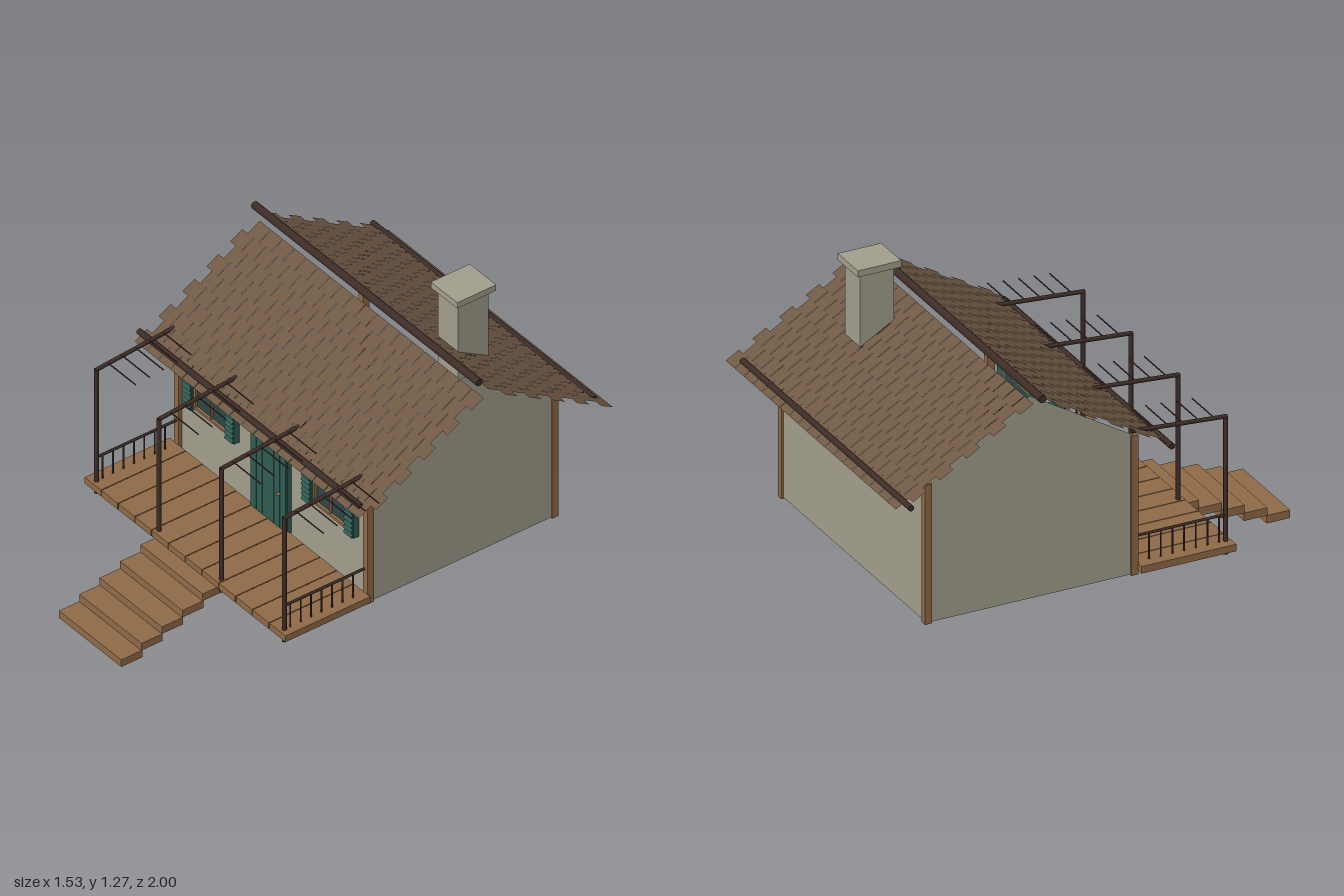
import * as THREE from 'three';
import { mergeGeometries } from 'three/addons/utils/BufferGeometryUtils.js';

const mat = (name, color, side = THREE.FrontSide) => {
  const m = new THREE.MeshStandardMaterial({ color, side });
  m.name = name;
  return m;
};

export function createModel() {
  const model = new THREE.Group();
  model.name = 'cabin';
  const plaster = mat('plaster', 0xa29e8c);
  const wood = mat('wood', 0x8f6a48);
  const shingle = mat('shingle', 0x6f5843, THREE.DoubleSide);
  const log = mat('darkLog', 0x3d2c27);
  const teal = mat('tealPaint', 0x2f5c53);
  const glass = mat('glass', 0x2d4745);

  const add = (name, geo, material, parent = model) => {
    const m = new THREE.Mesh(geo, material);
    m.name = name;
    parent.add(m);
    return m;
  };
  const group = (name) => {
    const g = new THREE.Group();
    g.name = name;
    model.add(g);
    return g;
  };
  // box given by its minimum and maximum along each axis
  const box = (x0, x1, y0, y1, z0, z1) =>
    new THREE.BoxGeometry(x1 - x0, y1 - y0, z1 - z0)
      .translate((x0 + x1) / 2, (y0 + y1) / 2, (z0 + z1) / 2);
  // round rod between two points
  const rod = (a, b, r, sides = 10) => {
    const p = new THREE.Vector3(...a), q = new THREE.Vector3(...b);
    const d = q.clone().sub(p);
    const geo = new THREE.CylinderGeometry(r, r, d.length(), sides);
    geo.applyQuaternion(new THREE.Quaternion().setFromUnitVectors(new THREE.Vector3(0, 1, 0), d.normalize()));
    return geo.translate((a[0] + b[0]) / 2, (a[1] + b[1]) / 2, (a[2] + b[2]) / 2);
  };

  // House shell: open-topped walls, floor and gables
  const L = -0.655, R = 0.595, F = 0.085, B = -0.84, Y0 = 0.16, EAVE = 0.775, MID = -0.38;
  const W = R - L, D = F - B, cx = (L + R) / 2, cz = (F + B) / 2, H = EAVE - Y0;
  const walls = group('walls');
  add('frontWall', new THREE.PlaneGeometry(W, H).translate(cx, Y0 + H / 2, F), plaster, walls);
  add('backWall', new THREE.PlaneGeometry(W, H).rotateY(Math.PI).translate(cx, Y0 + H / 2, B), plaster, walls);
  add('floor', new THREE.PlaneGeometry(W, D).rotateX(Math.PI / 2).translate(cx, Y0, cz), plaster, walls);
  for (const s of [1, -1]) {
    const pts = [[F, Y0], [B, Y0], [B, EAVE], [MID, 1.06], [F, EAVE]];
    const gable = new THREE.Shape(pts.map(([z, y]) => new THREE.Vector2(-s * z, y)));
    add(s > 0 ? 'leftGable' : 'rightGable',
      new THREE.ShapeGeometry(gable).rotateY(s * Math.PI / 2).translate(s > 0 ? R : L, 0, 0), plaster, walls);
  }
  for (const x of [L - 0.005, R - 0.025])
    for (const z of [0.07, -0.85])
      add('cornerPost', box(x, x + 0.03, 0.155, EAVE, z, z + 0.032), wood, walls);

  // Roof: staggered rows of thin shingles on both slopes
  const rows = 10, cols = 19, pitch = 1.46 / cols, gap = 0.003;
  for (const s of [1, -1]) {
    const shingles = [];
    const run = 0.595, drop = 0.345, slope = Math.hypot(run, drop), step = slope / rows;
    for (let r = 0; r < rows; r++)
      for (let c = 0; c < cols; c++)
        shingles.push(new THREE.PlaneGeometry(pitch - gap, step).translate(
          (r % 2 ? -0.735 : -0.7) + (c + 0.5) * pitch, -(r + 0.5) * step, 0));
    const geo = mergeGeometries(shingles);
    geo.rotateX(-Math.atan2(run, drop));
    geo.translate(0, 1.066, 0.025);
    if (s < 0) geo.rotateY(Math.PI).translate(0.025, 0, 0);
    geo.translate(0, 0, MID);
    add(s > 0 ? 'frontRoof' : 'backRoof', geo, shingle);
  }
  add('ridgeLog', rod([-0.765, 1.094, MID], [0.698, 1.094, MID], 0.017, 12), log);
  for (const z of [0.203, -0.96])
    add('eaveLog', rod([-0.755, 0.742, z], [0.69, 0.742, z], 0.013, 12), log);

  // Chimney
  add('chimneyStack', box(0.27, 0.4, 0.84, 1.248, -0.655, -0.503), plaster);
  add('chimneyCap', box(0.248, 0.42, 1.246, 1.275, -0.677, -0.483), plaster);

  // Porch deck and steps
  const deck = group('porchDeck');
  const planks = 12, pw = 1.31 / planks;
  for (let i = 0; i < planks; i++) {
    const x = -0.69 + i * pw;
    add('deckPlank', box(x, x + pw - 0.004, 0.172, 0.203, 0.1, 0.523), wood, deck);
  }
  const steps = group('steps');
  for (let i = 0; i < 5; i++) {
    const y = i * 0.035, z = 1 - i * 0.1015;
    add('step', box(-0.235, 0.17, y, y + 0.035, z - 0.105, z), wood, steps);
  }

  // Porch posts, rafters and short battens
  const porch = group('porchFrame');
  for (const x of [-0.643, -0.236, 0.17, 0.578]) {
    add('porchPost', rod([x, 0.145, 0.5], [x, 0.757, 0.5], 0.01), log, porch);
    add('porchRafter', rod([x, 0.755, 0.505], [x, 0.789, 0.08], 0.009), log, porch);
    for (let i = 0; i < 5; i++) {
      const z = 0.445 - i * 0.069;
      add('batten', rod([x, 0.765 + i * 0.0055, z], [x + 0.183, 0.765 + i * 0.0055, z], 0.003, 6), log, porch);
    }
  }

  // Side railings
  for (const x of [-0.643, 0.578]) {
    const rail = group('railing');
    add('handrail', rod([x, 0.32, 0.1], [x, 0.32, 0.5], 0.006, 8), log, rail);
    for (let i = 0; i < 7; i++) {
      const z = 0.47 - i * 0.052;
      add('baluster', rod([x, 0.2, z], [x, 0.32, z], 0.004, 6), log, rail);
    }
  }

  // Windows with louvred shutters
  for (const x of [-0.42, 0.355]) {
    const win = group('window');
    const y0 = 0.447, y1 = 0.65, hw = 0.11, t = 0.012, ym = (y0 + y1) / 2;
    add('pane', box(x - hw, x + hw, y0, y1, F, 0.092), glass, win);
    add('frameTop', box(x - hw, x + hw, y1 - t, y1, F, 0.104), wood, win);
    add('frameBottom', box(x - hw, x + hw, y0, y0 + t, F, 0.104), wood, win);
    for (const s of [1, -1]) {
      const xs = x + s * (hw - t / 2);
      add('frameSide', box(xs - t / 2, xs + t / 2, y0, y1, F, 0.103), wood, win);
      const xc = x + s * (hw + 0.028);
      add('shutter', box(xc - 0.028, xc + 0.028, 0.438, 0.656, F, 0.112), teal, win);
      for (let i = 0; i < 9; i++) {
        const slat = add('shutterSlat', new THREE.BoxGeometry(0.052, 0.02, 0.006), teal, win);
        slat.position.set(xc, 0.452 + i * 0.0238, 0.115);
        slat.rotation.x = -0.45;
      }
    }
    add('mullion', box(x - 0.004, x + 0.004, y0, y1, F, 0.1), wood, win);
    add('crossbar', box(x - hw, x + hw, ym - 0.004, ym + 0.004, F, 0.099), wood, win);
  }

  // Plank door with knob
  const door = group('door');
  add('doorBack', box(-0.148, 0.082, 0.19, 0.586, F, 0.104), teal, door);
  for (let i = 0; i < 6; i++) {
    const x = -0.148 + i * 0.0384;
    add('doorPlank', box(x, x + 0.0355, 0.19, 0.588, 0.1, 0.112), teal, door);
  }
  add('doorKnob', new THREE.SphereGeometry(0.008, 12, 8).translate(0.04, 0.373, 0.118), wood, door);

  return model;
}
